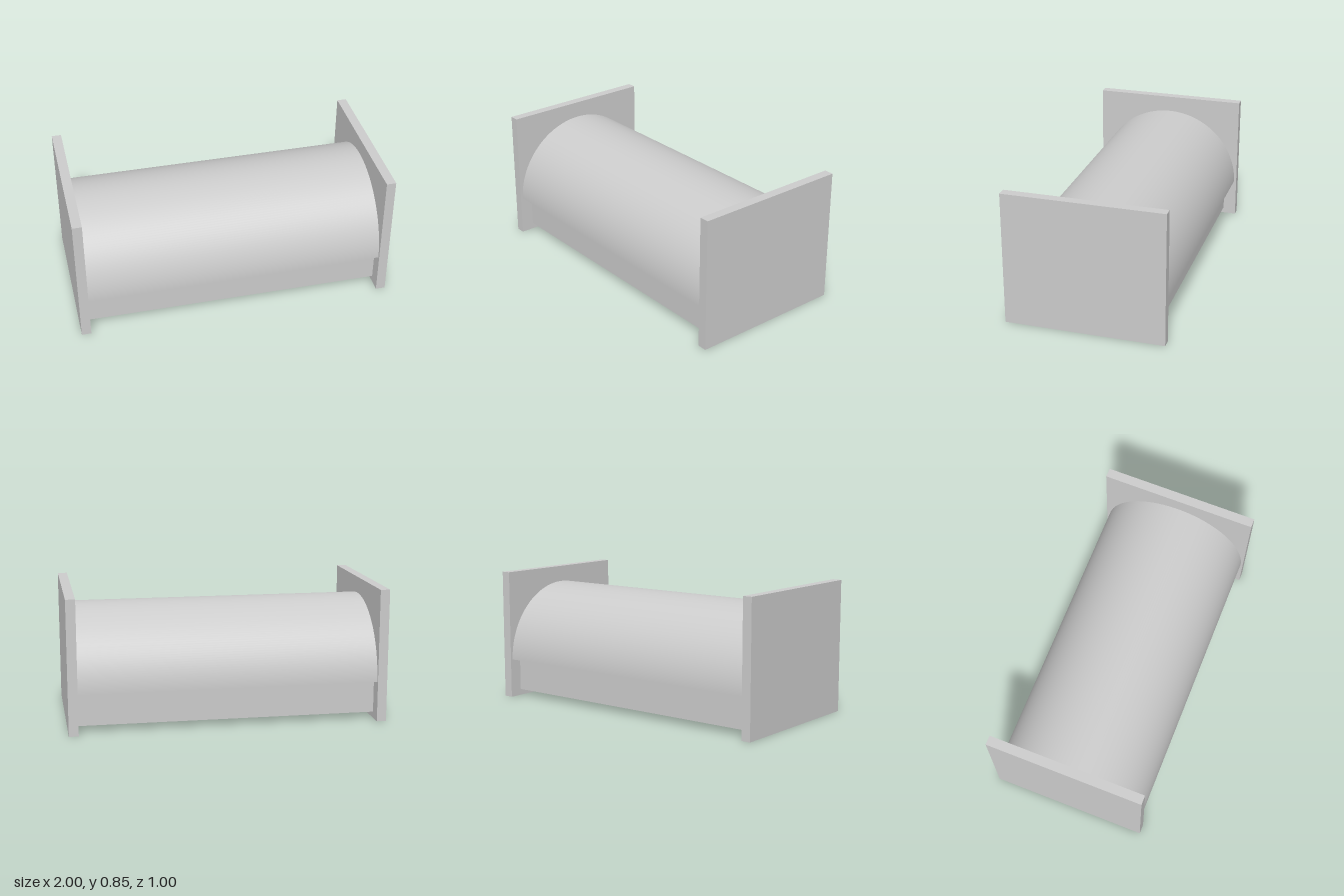
import * as THREE from 'three';

const INNER = 0.94; // half length between the end panels

export function createModel() {
  const model = new THREE.Group();
  const material = new THREE.MeshStandardMaterial({ color: 0xcccccc });

  const add = (name, geometry, x = 0, y = 0, z = 0) => {
    const mesh = new THREE.Mesh(geometry, material);
    mesh.name = name;
    mesh.position.set(x, y, z);
    model.add(mesh);
    return mesh;
  };

  // End panels, each with a thin strip under the base beside it
  for (const [side, s] of [['left', 1], ['right', -1]]) {
    add(side + 'EndPanel', new THREE.BoxGeometry(0.06, 0.845, 1), s * 0.97, 0.4225, 0);
    add(side + 'BaseStrip', new THREE.BoxGeometry(0.03, 0.015, 0.39), s * 0.925, 0.043, 0);
  }

  // Box base, its top hidden inside the cover
  add('base', new THREE.BoxGeometry(2 * INNER, 0.23, 0.83), 0, 0.155, 0);

  // Half-round cover: an arched shell running between the panels
  const arch = new THREE.Shape();
  arch.absarc(0, 0, 0.485, 0, Math.PI, false);
  arch.absarc(0, 0, 0.45, Math.PI, 0, true);
  arch.closePath();
  const shell = new THREE.ExtrudeGeometry(arch, {
    depth: 2 * INNER, bevelEnabled: false, curveSegments: 48,
  });
  shell.translate(0, 0, -INNER).rotateY(Math.PI / 2);

  // Smooth normals on the curved faces only
  const p = shell.attributes.position;
  const n = shell.attributes.normal;
  for (let i = 0; i < p.count; i++) {
    const y = p.getY(i), z = p.getZ(i), r = Math.hypot(y, z);
    const dot = (n.getY(i) * y + n.getZ(i) * z) / r;
    if (Math.abs(dot) > 0.9) n.setXYZ(i, 0, Math.sign(dot) * y / r, Math.sign(dot) * z / r);
  }
  add('cover', shell, 0, 0.255, 0);

  return model;
}
